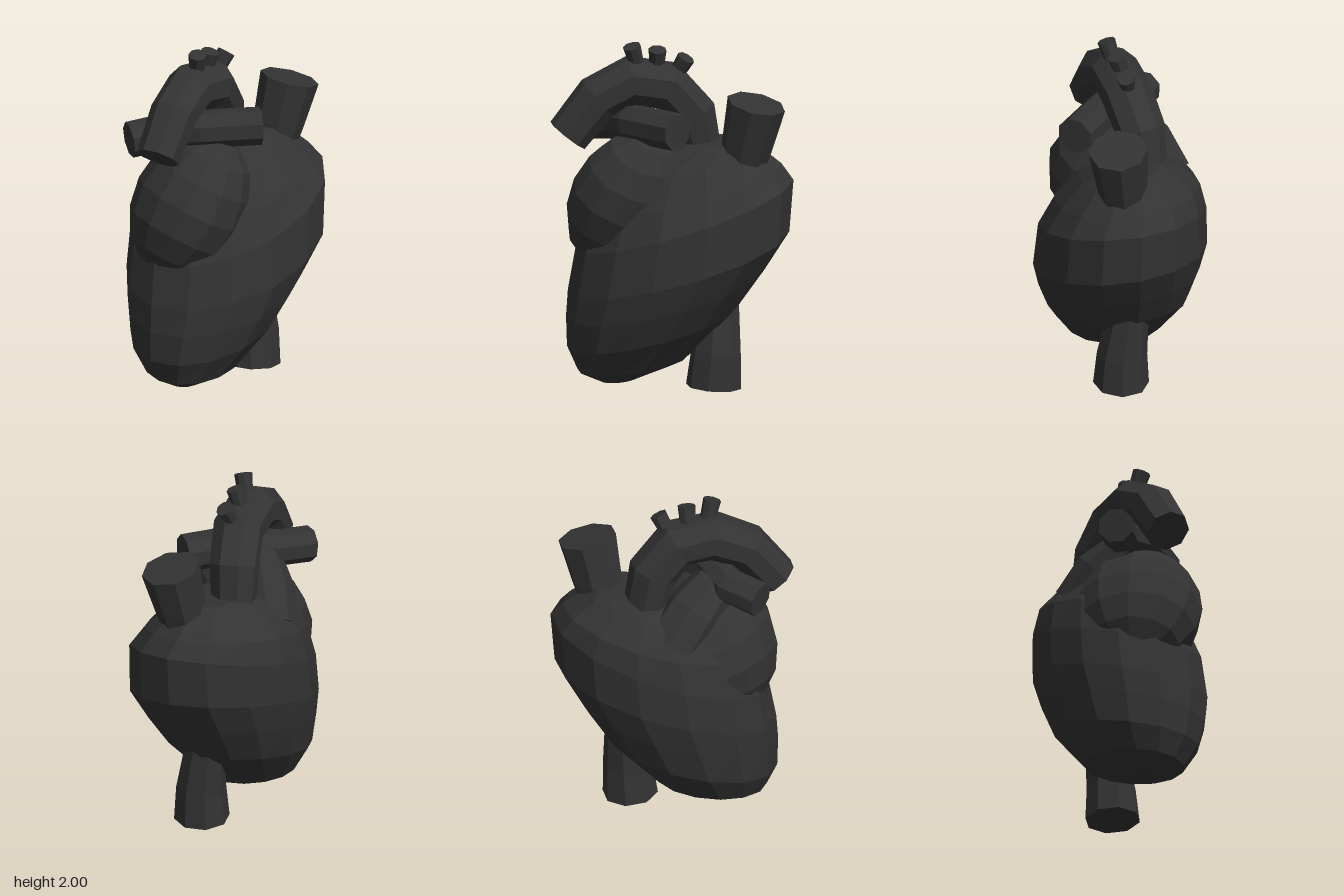
import * as THREE from 'three';

const V = (x, y, z) => new THREE.Vector3(x, y, z);

// Skins a list of equal rings (counter-clockwise about the travel direction) and caps both ends.
function loft(rings) {
  const n = rings[0].length, pos = [];
  const tri = (...pts) => pts.forEach(p => pos.push(p.x, p.y, p.z));
  for (let i = 0; i < rings.length - 1; i++) {
    for (let j = 0; j < n; j++) {
      const k = (j + 1) % n;
      const a = rings[i][j], b = rings[i][k], c = rings[i + 1][k], d = rings[i + 1][j];
      tri(a, b, c);
      tri(a, c, d);
    }
  }
  const first = rings[0], last = rings[rings.length - 1];
  for (let j = 1; j < n - 1; j++) {
    tri(first[0], first[j + 1], first[j]);
    tri(last[0], last[j], last[j + 1]);
  }
  const geo = new THREE.BufferGeometry();
  geo.setAttribute('position', new THREE.Float32BufferAttribute(pos, 3));
  geo.computeVertexNormals();
  return geo;
}

// Faceted closed pipe along points [x, y, z, radius]; ref fixes the roll of the rings.
function pipe(points, ref, sides = 8) {
  const centres = points.map(p => V(p[0], p[1], p[2]));
  return loft(centres.map((c, i) => {
    const before = centres[Math.max(i - 1, 0)];
    const after = centres[Math.min(i + 1, centres.length - 1)];
    const t = after.clone().sub(before).normalize();
    const u = ref.clone().addScaledVector(t, -ref.dot(t)).normalize();
    const v = t.clone().cross(u);
    return Array.from({ length: sides }, (_, j) => {
      const a = (j + 0.5) / sides * Math.PI * 2, r = points[i][3] * 1.04;
      return c.clone().addScaledVector(u, r * Math.cos(a)).addScaledVector(v, r * Math.sin(a));
    });
  }));
}

// Slanted oval sections from top to tip: [x right, y right, x left, y left, z front, z back]
const SECTIONS = [
  [0.38, 1.43, -0.10, 1.41, 0.06, -0.28],
  [0.43, 1.37, -0.38, 1.26, 0.24, -0.37],
  [0.55, 1.26, -0.50, 1.08, 0.39, -0.48],
  [0.63, 1.16, -0.57, 0.85, 0.48, -0.52],
  [0.61, 0.85, -0.60, 0.62, 0.52, -0.515],
  [0.47, 0.63, -0.60, 0.46, 0.515, -0.45],
  [0.32, 0.42, -0.59, 0.27, 0.485, -0.36],
  [0.07, 0.16, -0.52, 0.12, 0.41, -0.17],
  [-0.20, 0.04, -0.37, 0.03, 0.27, 0.10],
];

function ventricles() {
  const sides = 14, skew = 0.2;
  return loft(SECTIONS.map(([xr, yr, xl, yl, zf, zb]) =>
    Array.from({ length: sides }, (_, j) => {
      const a = j / sides * Math.PI * 2, c = Math.cos(a), s = Math.sin(a - skew);
      const rz = (zf - zb) / 2;
      return V((xr + xl) / 2 + (xr - xl) / 2 * c,
        (yr + yl) / 2 + (yr - yl) / 2 * c - 0.45 * rz * rz * s,
        (zf + zb) / 2 + rz * 1.01 * s);
    })));
}

export function createModel() {
  const group = new THREE.Group();
  const charcoal = new THREE.MeshStandardMaterial({ color: 0x333333, flatShading: true });
  charcoal.name = 'charcoal';
  const add = (name, geometry) => {
    const mesh = new THREE.Mesh(geometry, charcoal);
    mesh.name = name;
    group.add(mesh);
    return mesh;
  };

  add('ventricles', ventricles());

  // Rounded chamber leaning over the upper front
  const atrium = add('atrium', new THREE.SphereGeometry(1, 12, 8));
  atrium.scale.set(0.315, 0.44, 0.375);
  atrium.rotation.z = -0.48;
  atrium.position.set(-0.25, 1.085, 0.14);

  // Great arch, running diagonally from the front to the back
  add('aorticArch', pipe([
    [-0.515, 1.465, 0.36, 0.12], [-0.385, 1.68, 0.25, 0.13], [-0.24, 1.775, 0.12, 0.138],
    [-0.08, 1.74, -0.01, 0.142], [0.01, 1.58, -0.12, 0.138], [0.045, 1.30, -0.17, 0.12],
  ], V(0.7, 0, 0.7)));

  // Three little branches on the arch
  [
    [[-0.20, 1.84, 0.11, 0.04], [-0.21, 1.985, 0.16, 0.05]],
    [[-0.13, 1.82, 0.03, 0.04], [-0.10, 1.96, 0.06, 0.05]],
    [[-0.05, 1.78, -0.03, 0.04], [0.028, 1.91, -0.04, 0.05]],
  ].forEach((path, i) => add('archBranch' + (i + 1), pipe(path, V(0, 0, 1))));

  // Pulmonary vessels
  add('pulmonaryBranches', pipe([
    [0.145, 1.54, 0.225, 0.105], [-0.20, 1.54, 0.17, 0.105],
    [-0.38, 1.51, 0.07, 0.10], [-0.59, 1.485, 0.07, 0.10],
  ], V(0, 1, 0)));
  add('pulmonaryTrunk', pipe([
    [-0.16, 1.18, -0.19, 0.17], [-0.22, 1.35, -0.06, 0.165], [-0.27, 1.47, 0.10, 0.13],
  ], V(1, 0, 0)));

  // Veins above and below
  add('upperVein', pipe([
    [0.345, 1.30, -0.14, 0.125], [0.375, 1.42, -0.14, 0.14], [0.44, 1.675, -0.14, 0.163],
  ], V(0, 0, 1)));
  add('lowerVein', pipe([
    [0.20, 0.50, -0.12, 0.11], [0.205, 0.21, -0.08, 0.138], [0.195, 0.01, -0.07, 0.153],
  ], V(0, 0, 1)));

  return group;
}
